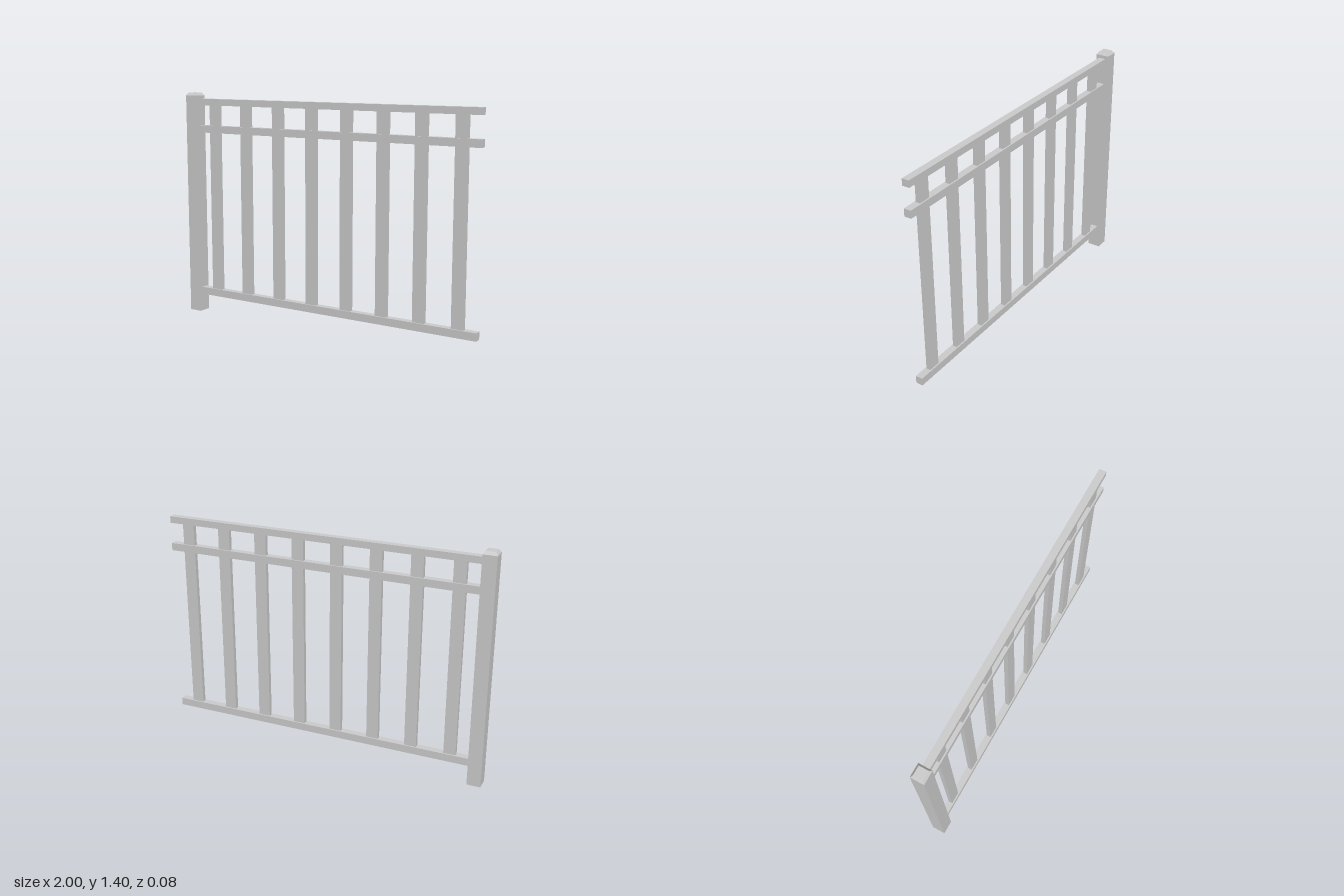
import * as THREE from 'three';

export function createModel() {
  const model = new THREE.Group();
  const material = new THREE.MeshStandardMaterial({ color: 0xcccccc, flatShading: true });

  function add(name, geometry, x, y, z = 0) {
    const mesh = new THREE.Mesh(geometry, material);
    mesh.name = name;
    mesh.position.set(x, y, z);
    model.add(mesh);
    return mesh;
  }

  // End post with a bevelled cap
  const postWidth = 0.082, postHeight = 1.387, capHeight = 0.018;
  const postX = -1 + postWidth / 2;
  add('post', new THREE.BoxGeometry(postWidth, postHeight, postWidth), postX, postHeight / 2);

  const cap = new THREE.CylinderGeometry(0.028 * Math.SQRT2, postWidth / 2 * Math.SQRT2, capHeight, 4);
  cap.rotateY(Math.PI / 4);
  add('postCap', cap, postX, postHeight + capHeight / 2);

  // Horizontal rails: [name, bottom, top]
  const railStart = -1 + postWidth, railLength = 1 - railStart;
  const rails = [
    ['bottomRail', 0.111, 0.157],
    ['middleRail', 1.157, 1.202],
    ['topRail', 1.328, 1.368],
  ];
  for (const [name, bottom, top] of rails) {
    add(name, new THREE.BoxGeometry(railLength, top - bottom, 0.043),
      railStart + railLength / 2, (bottom + top) / 2);
  }

  // Flat balusters, split by the middle rail
  const spans = [
    ['baluster', rails[0][2], rails[1][1]],
    ['upperBaluster', rails[1][2], rails[2][1]],
  ];
  for (let i = 0; i < 8; i++) {
    for (const [name, bottom, top] of spans) {
      add(name + (i + 1), new THREE.BoxGeometry(0.073, top - bottom, 0.026),
        -0.798 + i * 0.24, (bottom + top) / 2);
    }
  }

  return model;
}
